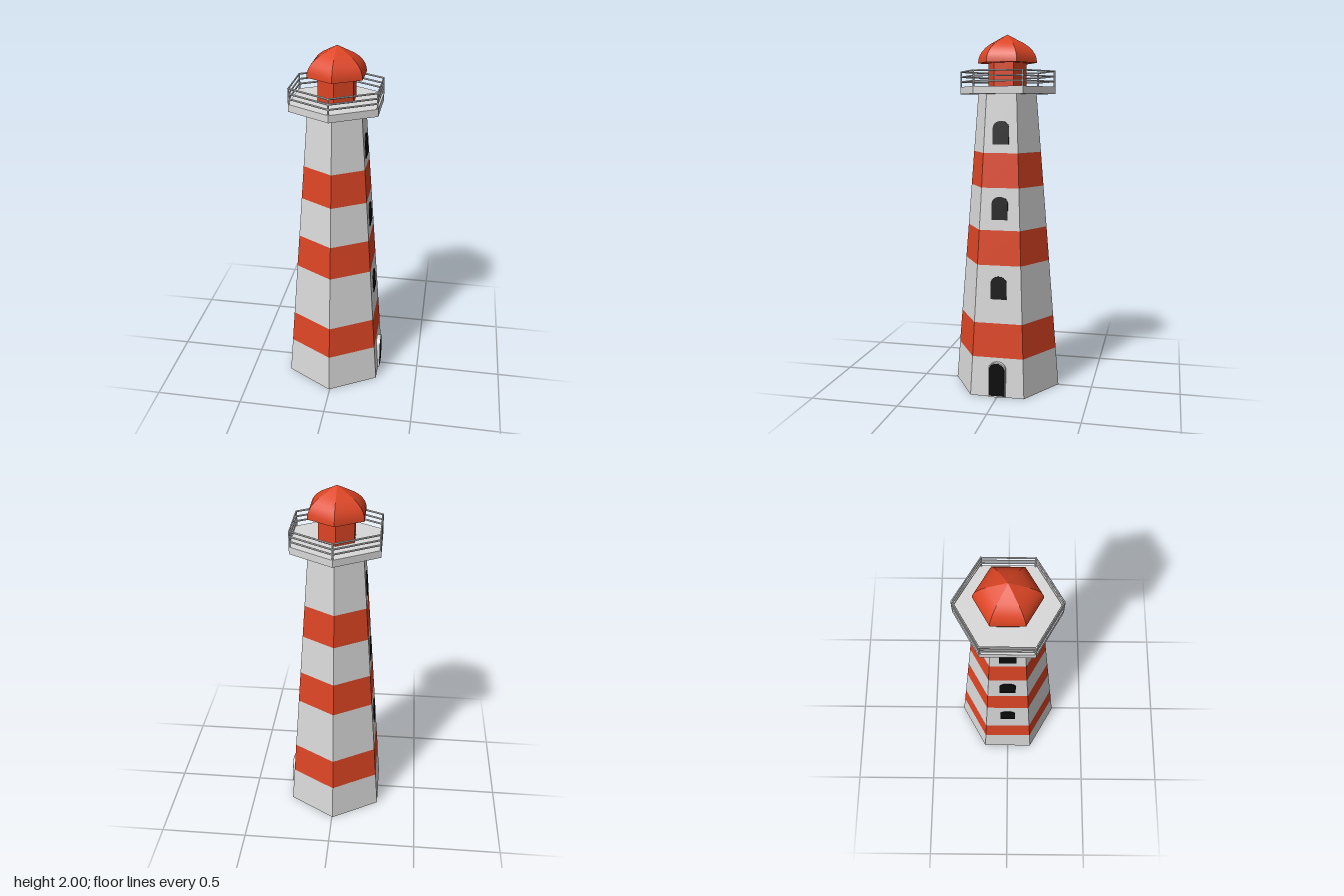
import * as THREE from 'three';
import { toCreasedNormals } from 'three/addons/utils/BufferGeometryUtils.js';

const SIDES = 6;
const BASE_R = 0.306, TOP_R = 0.167, TOWER_H = 1.675;
const radiusAt = (y) => BASE_R + (TOP_R - BASE_R) * y / TOWER_H;
const COS30 = Math.cos(Math.PI / 6);

export function createModel() {
  const mat = (name, color) => {
    const m = new THREE.MeshStandardMaterial({ color, side: THREE.DoubleSide });
    m.name = name;
    return m;
  };
  const white = mat('white', 0xd9d9d9);
  const red = mat('red', 0xdd4524);
  const black = mat('black', 0x0b0b0c);

  const model = new THREE.Group();
  model.name = 'lighthouse';
  const tower = new THREE.Group();
  tower.name = 'tower';
  tower.position.x = -0.005;
  model.add(tower);

  const add = (name, geometry, material, parent = tower) => {
    const mesh = new THREE.Mesh(toCreasedNormals(geometry, 0.4), material);
    mesh.name = name;
    parent.add(mesh);
    return mesh;
  };

  // Hexagonal prism or frustum between two heights
  const hexagon = (name, rBottom, rTop, y0, y1, material, open = false) => {
    const g = new THREE.CylinderGeometry(rTop, rBottom, y1 - y0, SIDES, 1, open);
    add(name, g.translate(0, (y0 + y1) / 2, 0), material);
  };

  // Tapered open wall in alternating bands
  const levels = [0, 0.222, 0.415, 0.738, 0.932, 1.165, 1.355, TOWER_H];
  for (let i = 0; i < levels.length - 1; i++) {
    const [a, b] = [levels[i], levels[i + 1]];
    hexagon(i % 2 ? 'redBand' : 'whiteBand', radiusAt(a), radiusAt(b), a, b, i % 2 ? red : white, true);
  }

  // Balcony floor and lantern room
  hexagon('balconyFloor', 0.272, 0.272, TOWER_H, 1.715, white);
  hexagon('lanternRoom', 0.109, 0.109, 1.715, 1.85, red);

  // Ribbed dome roof with a closed underside
  const profile = [
    [0, 1.845], [0.168, 1.845], [0.166, 1.867], [0.158, 1.89], [0.144, 1.911],
    [0.124, 1.931], [0.098, 1.95], [0.05, 1.975], [0, 2],
  ].map(([r, y]) => new THREE.Vector2(r, y));
  add('roof', new THREE.LatheGeometry(profile, SIDES), red);

  // Railing: three hexagonal rails and a post at each corner
  const railing = new THREE.Group();
  railing.name = 'railing';
  tower.add(railing);
  const railR = 0.267;
  for (const y of [1.743, 1.77, 1.798]) {
    const g = new THREE.TorusGeometry(railR, 0.005, 6, SIDES);
    g.rotateX(Math.PI / 2).rotateY(Math.PI / 2).translate(0, y, 0);
    add('rail', g, white, railing);
  }
  for (let i = 0; i < SIDES; i++) {
    const a = i * Math.PI / 3;
    const g = new THREE.CylinderGeometry(0.005, 0.005, 0.088, 6);
    g.translate(Math.sin(a) * railR, 1.757, Math.cos(a) * railR);
    add('railPost', g, white, railing);
  }

  // Round-topped panel facing +x, standing on y = 0
  const arch = (halfWidth, height, depth) => {
    const rise = halfWidth * 0.8;
    const s = new THREE.Shape();
    s.moveTo(-halfWidth, 0);
    s.lineTo(halfWidth, 0);
    s.lineTo(halfWidth, height - rise);
    s.absellipse(0, height - rise, halfWidth, rise, 0, Math.PI, false);
    s.lineTo(-halfWidth, 0);
    const g = new THREE.ExtrudeGeometry(s, { depth, bevelEnabled: false, curveSegments: 10 });
    return g.rotateY(Math.PI / 2);
  };

  // Windows lie on the sloping left and right walls
  const slope = Math.atan((BASE_R - TOP_R) * COS30 / TOWER_H);
  for (const side of [0, Math.PI]) {
    const column = new THREE.Group();
    column.name = 'windowColumn';
    column.rotation.y = side;
    tower.add(column);
    for (const y of [0.55, 0.99, 1.402]) {
      const pane = add('window', arch(0.045, 0.127, 0.006), black, column);
      pane.position.set(radiusAt(y) * COS30 - 0.002, y, 0);
      pane.rotation.z = slope;
    }
  }

  // Door with a projecting surround on the +x wall
  add('doorFrame', arch(0.049, 0.2, 0.035), white).position.set(0.238, 0, 0);
  add('door', arch(0.044, 0.187, 0.004), black).position.set(0.271, 0.008, 0);

  return model;
}
